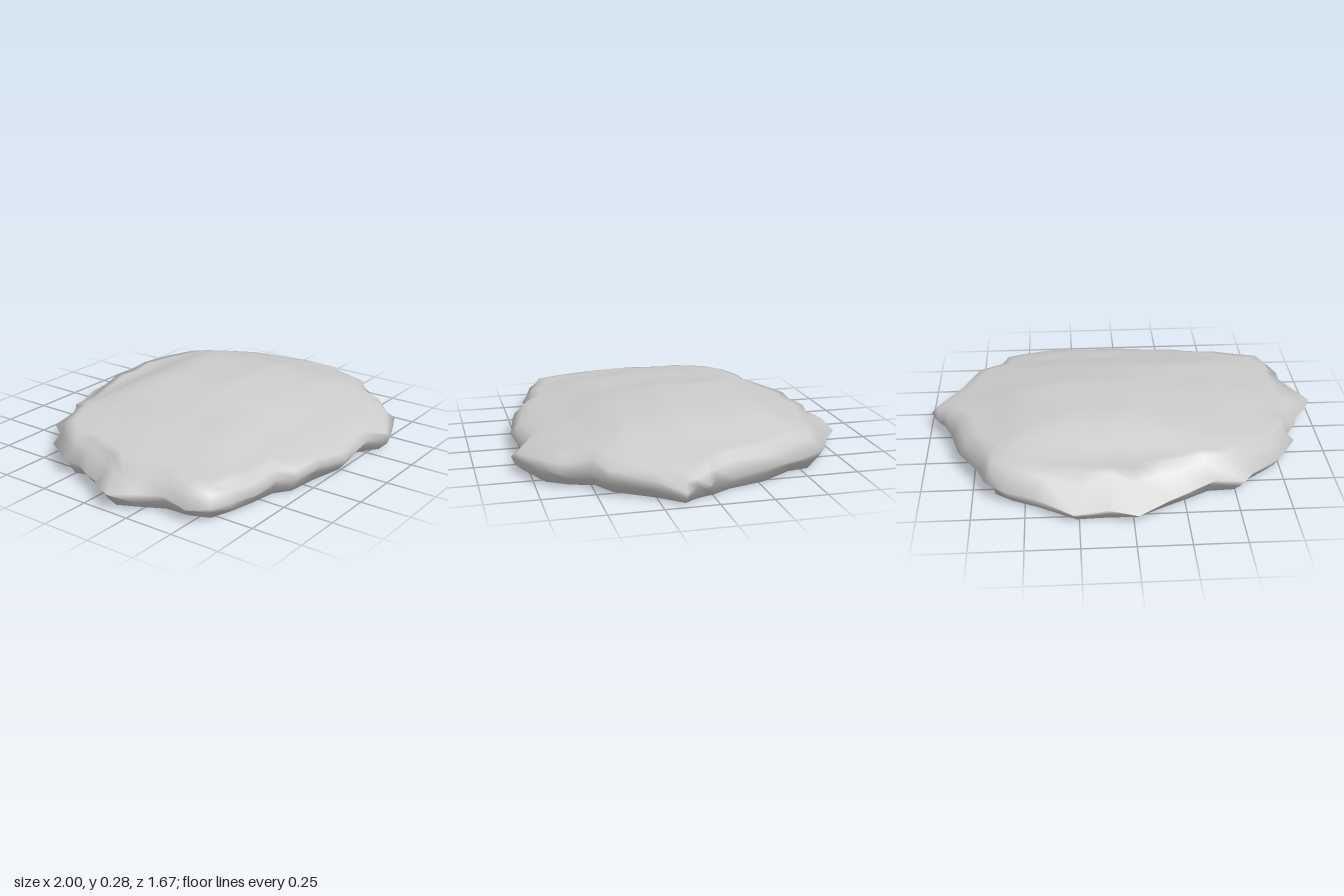
import * as THREE from 'three';

// Widest outline of the slab as x, z pairs, running from +x towards +z
const OUTLINE = [
  1, .15, .9, .27, .8, .46, .68, .52, .64, .65, .56, .74, .35, .83, .24, .77,
  -.02, .79, -.2, .76, -.36, .73, -.44, .67, -.6, .66, -.72, .62, -.84, .59,
  -.89, .49, -.88, .36, -.94, .24, -1, .14, -.96, .04, -.9, -.02, -.88, -.1,
  -.82, -.2, -.84, -.27, -.74, -.44, -.6, -.53, -.54, -.62, -.4, -.63,
  -.28, -.68, -.18, -.75, -.02, -.84, .12, -.82, .28, -.82, .46, -.71,
  .6, -.64, .69, -.58, .72, -.47, .83, -.3, .88, -.1, .93, 0, .95, .03, .99, .1,
];

// Height of the upper surface along x and along z
const ALONG_X = [[-1, .09], [-.88, .155], [-.8, .18], [-.6, .205], [-.5, .23], [-.2, .25],
  [0, .275], [.3, .272], [.55, .24], [.65, .205], [.9, .155], [1, .1]];
const ALONG_Z = [[-.84, .16], [-.64, .195], [-.55, .195], [-.5, .21], [-.4, .25], [-.3, .275],
  [.05, .275], [.2, .25], [.35, .235], [.5, .185], [.6, .17], [.83, .09]];

function sample(profile, t) {
  for (let i = 1; i < profile.length; i++) {
    const [a, ya] = profile[i - 1], [b, yb] = profile[i];
    if (t <= b) return THREE.MathUtils.mapLinear(Math.max(t, a), a, b, ya, yb);
  }
  return profile.at(-1)[1];
}

function topHeight(x, z) {
  const f = sample(ALONG_X, x), g = sample(ALONG_Z, z);
  const ripple = .004 * Math.sin(9 * x + 4 * z) * Math.sin(8 * z - 3 * x);
  return .5 * (Math.min(f, g) + f * g / .275) + ripple;
}

function seeded(seed) {
  return () => (seed = (seed * 16807) % 2147483647) / 2147483647;
}

// Cross-section of the slab at one outline point, from base centre to top centre
function crossSection(x, z, random) {
  const bump = (centreX, centreZ, width) =>
    Math.exp(-((x - centreX) ** 2 + (z - centreZ) ** 2) / width ** 2);
  // The top is set back above a lower lip at the back and on the right side
  const ledge = Math.min(1, bump(.05, -.84, .4) + .45 * bump(-.95, .15, .3) + .3 * bump(-.55, -.6, .25));
  const rimY = (z < -.7 ? .05 : .065) + .03 * random();
  const edge = .95 - .17 * ledge - .025 * random();
  const base = .93 + .03 * (random() - .5);
  const edgeY = topHeight(x * edge, z * edge);
  const points = [
    [0, 0], [.5, 0], [base, 0],
    [base + .005 + .04 * random(), rimY * .45],
    [1, rimY],
    [edge + .025 - .045 * ledge, THREE.MathUtils.lerp(rimY, edgeY, .35 + .3 * random())],
    [edge, edgeY],
  ];
  for (const k of [.94, .86, .76, .66, .55, .43, .3, .15, 0]) {
    const s = edge * k;
    points.push([s, topHeight(x * s, z * s)]);
  }
  return points.map(([s, y]) => [x * s, y, z * s]);
}

export function createModel() {
  const random = seeded(41);
  const sections = [];
  for (let i = 0; i < OUTLINE.length; i += 2) {
    sections.push(crossSection(OUTLINE[i], OUTLINE[i + 1], random));
  }

  // Skin neighbouring cross-sections together
  const columns = sections.length, rows = sections[0].length;
  const index = [];
  for (let c = 0; c < columns; c++) {
    const a = c * rows, b = ((c + 1) % columns) * rows;
    for (let r = 0; r < rows - 1; r++) {
      if (r < rows - 2) index.push(a + r, a + r + 1, b + r + 1);
      else index.push(a + r, a + r + 1, b + r);
      if (r > 0 && r < rows - 2) index.push(a + r, b + r + 1, b + r);
    }
  }
  const geometry = new THREE.BufferGeometry();
  geometry.setAttribute('position', new THREE.Float32BufferAttribute(sections.flat(2), 3));
  geometry.setIndex(index);
  geometry.computeVertexNormals();

  // Shared normals at the two poles keep the centres smooth
  const normals = geometry.attributes.normal;
  for (let c = 0; c < columns; c++) {
    normals.setXYZ(c * rows, 0, -1, 0);
    normals.setXYZ(c * rows + rows - 1, 0, 1, 0);
  }

  const rock = new THREE.Mesh(geometry, new THREE.MeshStandardMaterial({ color: 0xcccccc }));
  rock.name = 'flatRock';
  const group = new THREE.Group();
  group.name = 'rock';
  group.add(rock);
  return group;
}
